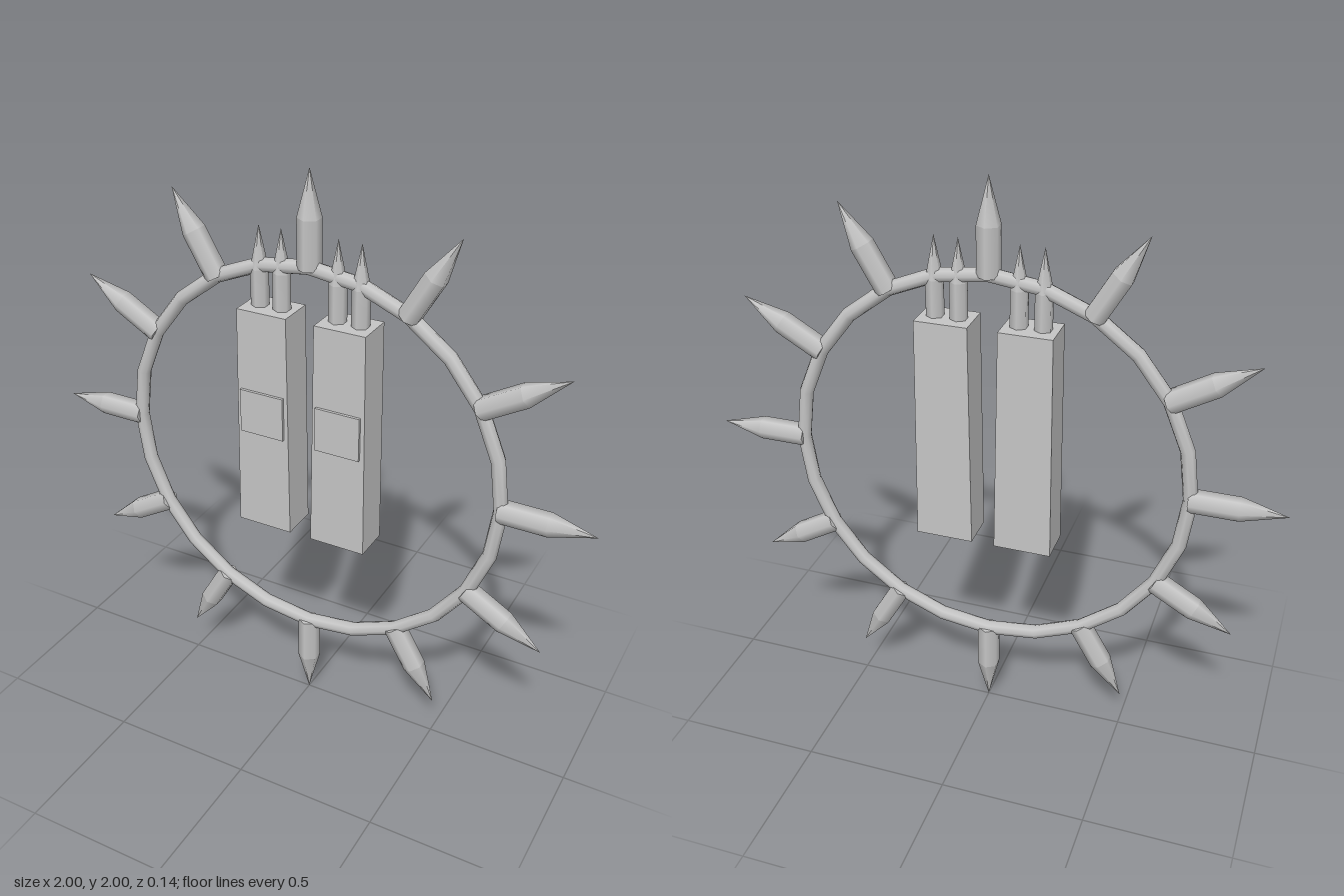
import * as THREE from 'three';

const grey = new THREE.MeshStandardMaterial({ color: 0xc4c4c4 });
grey.name = 'light grey';

function add(parent, name, geometry, x = 0, y = 0, z = 0) {
  const mesh = new THREE.Mesh(geometry, grey);
  mesh.name = name;
  mesh.position.set(x, y, z);
  parent.add(mesh);
  return mesh;
}

// Six-sided shaft with a pointed tip, standing along +y from start
function makeSpike(name, radius, start, shoulder, tip) {
  const spike = new THREE.Group();
  spike.name = name;
  add(spike, name + 'Shaft', new THREE.CylinderGeometry(radius, radius, shoulder - start, 6), 0, (start + shoulder) / 2);
  add(spike, name + 'Tip', new THREE.ConeGeometry(radius, tip - shoulder, 6), 0, (shoulder + tip) / 2);
  return spike;
}

// Box that is slightly narrower at the top
function taperedBox(bottomWidth, topWidth, height, depth) {
  const geometry = new THREE.BoxGeometry(bottomWidth, height, depth);
  const p = geometry.attributes.position;
  for (let i = 0; i < p.count; i++) {
    if (p.getY(i) > 0) p.setX(i, p.getX(i) * topWidth / bottomWidth);
  }
  geometry.computeVertexNormals();
  return geometry;
}

export function createModel() {
  const model = new THREE.Group();
  model.name = 'spikedRing';

  // Ring
  add(model, 'ring', new THREE.TorusGeometry(0.685, 0.025, 8, 24), 0, 1, 0);

  // Twelve spikes pointing outwards
  for (let i = 0; i < 12; i++) {
    const spike = makeSpike('spike', 0.04, 0.68, 0.845, 1);
    spike.position.y = 1;
    spike.rotation.z = i * Math.PI / 6;
    model.add(spike);
  }

  // Two mirrored cases, each with a front plate and two prongs
  for (const side of [-1, 1]) {
    const holder = new THREE.Group();
    holder.name = side > 0 ? 'leftCase' : 'rightCase';
    holder.position.x = side * 0.14;
    add(holder, 'caseBody', taperedBox(0.2, 0.18, 0.8, 0.132), 0, 1.125, 0);
    add(holder, 'frontPlate', new THREE.BoxGeometry(0.16, 0.155, 0.02), 0, 1.165, 0.066);
    for (const dx of [-0.04, 0.04]) {
      const prong = makeSpike('prong', 0.03, 1.5, 1.65, 1.795);
      prong.position.x = dx;
      holder.add(prong);
    }
    model.add(holder);
  }
  return model;
}
